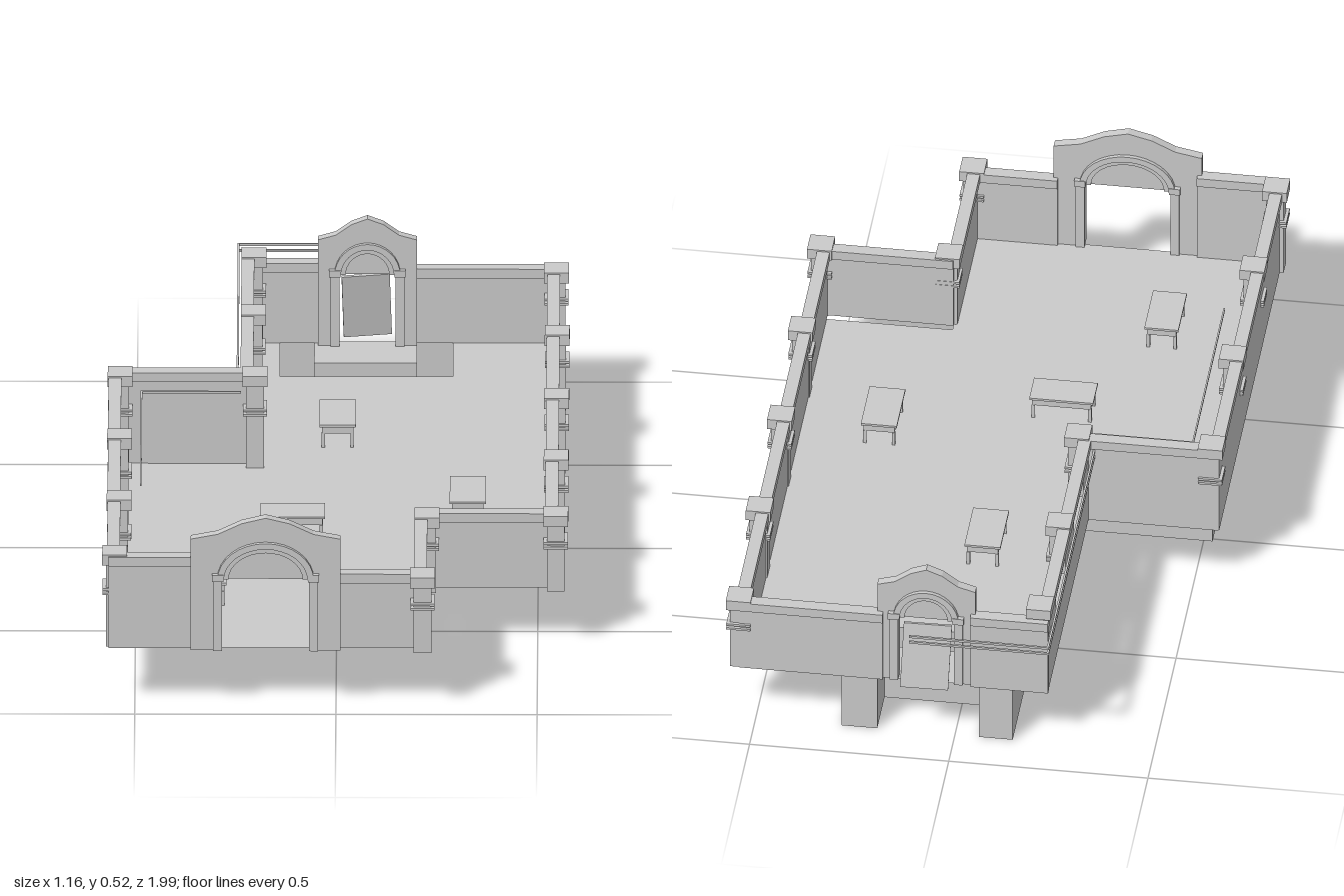
import * as THREE from 'three';

const FLOOR = 0.16, LOW = 0.365, TALL = 0.41;
const mat = new THREE.MeshStandardMaterial({ color: 0xcccccc, flatShading: true, side: THREE.DoubleSide });

function add(parent, name, geo, x = 0, y = 0, z = 0) {
  const m = new THREE.Mesh(geo, mat);
  m.name = name;
  m.position.set(x, y, z);
  parent.add(m);
  return m;
}

// Box given by its min and max on each axis
function box(parent, name, x0, x1, y0, y1, z0, z1) {
  return add(parent, name, new THREE.BoxGeometry(x1 - x0, y1 - y0, z1 - z0),
    (x0 + x1) / 2, (y0 + y1) / 2, (z0 + z1) / 2);
}

function polygon(points) {
  return new THREE.Shape(points.map(([x, y]) => new THREE.Vector2(x, y)));
}

// Straight wall along x or z with a coping; slots are [from, to] openings along z
function wall(parent, name, x0, z0, x1, z1, top, slots = []) {
  const g = new THREE.Group();
  g.name = name;
  parent.add(g);
  const t = 0.009, c = 0.016;
  const xa = Math.min(x0, x1), xb = Math.max(x0, x1), za = Math.min(z0, z1), zb = Math.max(z0, z1);
  const alongX = xb - xa > zb - za;
  const part = (n, y0, y1, h, a, b) => alongX
    ? box(g, n, a, b, y0, y1, za - h, za + h)
    : box(g, n, xa - h, xa + h, y0, y1, a, b);
  const a = alongX ? xa : za, b = alongX ? xb : zb;
  part('coping', top - 0.025, top, c, a, b);
  if (!slots.length) {
    part('wallPanel', FLOOR, top - 0.025, t, a, b);
    return;
  }
  part('wallPanel', FLOOR, 0.295, t, a, b);
  part('lintel', 0.345, top - 0.025, t, a, b);
  let from = a;
  for (const [s, e] of [...slots, [b, b]]) {
    part('windowPier', 0.295, 0.345, t, from, s);
    from = e;
  }
}

// Square pillar with two thin bands and a cap
function pillar(parent, x, z, top) {
  const g = new THREE.Group();
  g.name = 'pillar';
  g.position.set(x, 0, z);
  parent.add(g);
  const sq = (n, r, y0, y1) => box(g, n, -r, r, y0, y1, -r, r);
  sq('shaft', 0.022, FLOOR, top - 0.02);
  sq('cap', 0.031, top - 0.025, top + 0.004);
  const ringY = top === TALL ? 0.304 : 0.279;
  sq('lowerBand', 0.03, ringY, ringY + 0.006);
  sq('upperBand', 0.03, ringY + 0.012, ringY + 0.018);
}

// Gate: wavy-topped slab, rectangular doorway, raised arched trim
function gate(parent, name, x, z, halfW, peak, doorW, archTop) {
  const g = new THREE.Group();
  g.name = name;
  g.position.set(x, 0, z);
  parent.add(g);
  const spring = 0.355, w = halfW, d = 0.024;
  const slab = polygon([[-w, FLOOR], [-doorW, FLOOR], [-doorW, spring], [doorW, spring], [doorW, FLOOR],
    [w, FLOOR], [w, peak - 0.057], [w * 0.64, peak - 0.044], [w * 0.32, peak - 0.015], [0, peak],
    [-w * 0.32, peak - 0.015], [-w * 0.64, peak - 0.044], [-w, peak - 0.057]]);
  add(g, 'gateSlab', new THREE.ExtrudeGeometry(slab, { depth: d, bevelEnabled: false }), 0, 0, -d / 2);
  const trim = (n, r, rise, width, depth) => {
    const s = new THREE.Shape();
    s.moveTo(r, spring);
    s.absellipse(0, spring, r, rise, 0, Math.PI, false);
    s.lineTo(-r + width, spring);
    s.absellipse(0, spring, r - width, rise - width, Math.PI, 0, true);
    add(g, n, new THREE.ExtrudeGeometry(s, { depth, bevelEnabled: false, curveSegments: 8 }), 0, 0, -depth / 2);
  };
  const rise = archTop - spring;
  trim('outerArchTrim', doorW + 0.012, rise, 0.016, 0.044);
  trim('innerArchTrim', doorW - 0.004, rise - 0.016, 0.012, 0.034);
  for (const s of [-1, 1]) {
    const jx = s * (doorW + 0.011);
    box(g, 'jamb', jx - 0.011, jx + 0.011, FLOOR, spring, -0.018, 0.018);
    box(g, 'jambCap', jx - 0.014, jx + 0.014, spring - 0.004, spring + 0.014, -0.024, 0.024);
  }
}

function table(parent, x, z, w, d) {
  const g = new THREE.Group();
  g.name = 'table';
  g.position.set(x, 0, z);
  parent.add(g);
  const a = w / 2, b = d / 2;
  box(g, 'tableTop', -a, a, 0.217, 0.223, -b, b);
  box(g, 'apron', -a + 0.006, a - 0.006, 0.198, 0.217, -b + 0.006, b - 0.006);
  for (const sx of [-1, 1]) for (const sz of [-1, 1]) {
    const lx = sx * (a - 0.009), lz = sz * (b - 0.009);
    box(g, 'tableLeg', lx - 0.004, lx + 0.004, FLOOR, 0.198, lz - 0.004, lz + 0.004);
  }
}

export function createModel() {
  const root = new THREE.Group();
  root.name = 'walledCourtyard';

  // Floor with a rectangular well; shape y maps to -z
  const floor = polygon([[-0.23, 0.89], [-0.23, 0.17], [-0.56, 0.17], [-0.56, -0.95], [0.21, -0.95],
    [0.21, -0.555], [0.54, -0.555], [0.54, 0.89], [0.285, 0.89], [0.285, 0.68], [-0.145, 0.68], [-0.145, 0.89]]);
  add(root, 'floor', new THREE.ShapeGeometry(floor), 0, FLOOR, 0).rotation.x = -Math.PI / 2;
  box(root, 'underfloorSlab', -0.545, 0.13, 0.122, FLOOR - 0.002, -0.17, 0.21);

  // Bottomless well around the rear landing
  const well = new THREE.Group();
  well.name = 'entranceWell';
  root.add(well);
  const ring = [[-0.06, -0.89], [-0.145, -0.89], [-0.145, -0.68], [0.285, -0.68], [0.285, -0.89],
    [0.195, -0.89], [0.195, -0.76], [-0.06, -0.76], [-0.06, -0.89]];
  for (let i = 0; i < ring.length - 1; i++) {
    const [x0, z0] = ring[i], [x1, z1] = ring[i + 1];
    const side = add(well, 'wellWall', new THREE.PlaneGeometry(Math.hypot(x1 - x0, z1 - z0), FLOOR),
      (x0 + x1) / 2, FLOOR / 2, (z0 + z1) / 2);
    side.rotation.y = Math.abs(x1 - x0) > 0.01 ? 0 : Math.PI / 2;
  }
  add(well, 'landing', new THREE.PlaneGeometry(0.255, 0.13), 0.0675, FLOOR, -0.825).rotation.x = -Math.PI / 2;

  // Perimeter walls, taller on the -x side
  wall(root, 'frontWallTall', -0.565, 0.945, -0.35, 0.945, TALL);
  wall(root, 'frontWallLow', 0, 0.945, 0.21, 0.945, LOW);
  wall(root, 'frontReturnWall', 0.21, 0.95, 0.21, 0.58, LOW);
  wall(root, 'frontStepWall', 0.21, 0.58, 0.54, 0.58, LOW);
  wall(root, 'longSideWall', 0.535, 0.58, 0.535, -0.89, LOW);
  wall(root, 'backWallLow', 0.18, -0.89, 0.54, -0.89, LOW);
  wall(root, 'backWallTall', -0.235, -0.89, -0.04, -0.89, TALL - 0.03);
  wall(root, 'windowWall', -0.225, -0.89, -0.225, -0.16, TALL, [[-0.75, -0.58], [-0.43, -0.26]]);
  wall(root, 'rearStepWall', -0.56, -0.165, -0.22, -0.165, TALL);
  wall(root, 'tallSideWall', -0.553, -0.17, -0.553, 0.95, TALL);

  // Pillars
  for (const [x, z] of [[0.542, -0.875], [0.545, -0.5], [0.545, -0.12], [0.545, 0.25], [0.545, 0.59],
    [0.225, 0.6], [0.215, 0.96]]) pillar(root, x, z, LOW);
  for (const [x, z] of [[-0.21, -0.865], [-0.21, -0.52], [-0.205, -0.15], [-0.54, -0.15], [-0.54, 0.225],
    [-0.54, 0.595], [-0.55, 0.925]]) pillar(root, x, z, TALL);

  // Gates, and a loose door leaning outside the rear one
  gate(root, 'frontGate', -0.175, 0.955, 0.186, 0.52, 0.108, 0.455);
  gate(root, 'rearGate', 0.072, -0.878, 0.123, 0.505, 0.07, 0.44);
  const door = add(root, 'leaningDoor', new THREE.BoxGeometry(0.12, 0.18, 0.008), 0.07, 0.252, -0.908);
  door.rotation.set(0.17, 0.08, 0.03);

  // Furniture
  for (const t of [[0, -0.325, 0.09, 0.155], [0.325, 0.135, 0.09, 0.155], [-0.11, 0.262, 0.16, 0.085],
    [-0.315, 0.625, 0.085, 0.155]]) table(root, ...t);

  // Twin rails outside the rear corner, and thin trim inside the tall corner
  for (const y of [0.359, 0.376]) {
    box(root, 'rearRail', -0.25, 0.1, y - 0.003, y + 0.003, -1, -0.995);
    box(root, 'sideRail', -0.251, -0.246, y - 0.003, y + 0.003, -1, -0.17);
  }
  box(root, 'innerTrim', -0.489, -0.485, 0.373, 0.379, -0.11, 0.45);
  box(root, 'innerTrim', -0.489, -0.24, 0.373, 0.379, -0.11, -0.106);
  return root;
}
